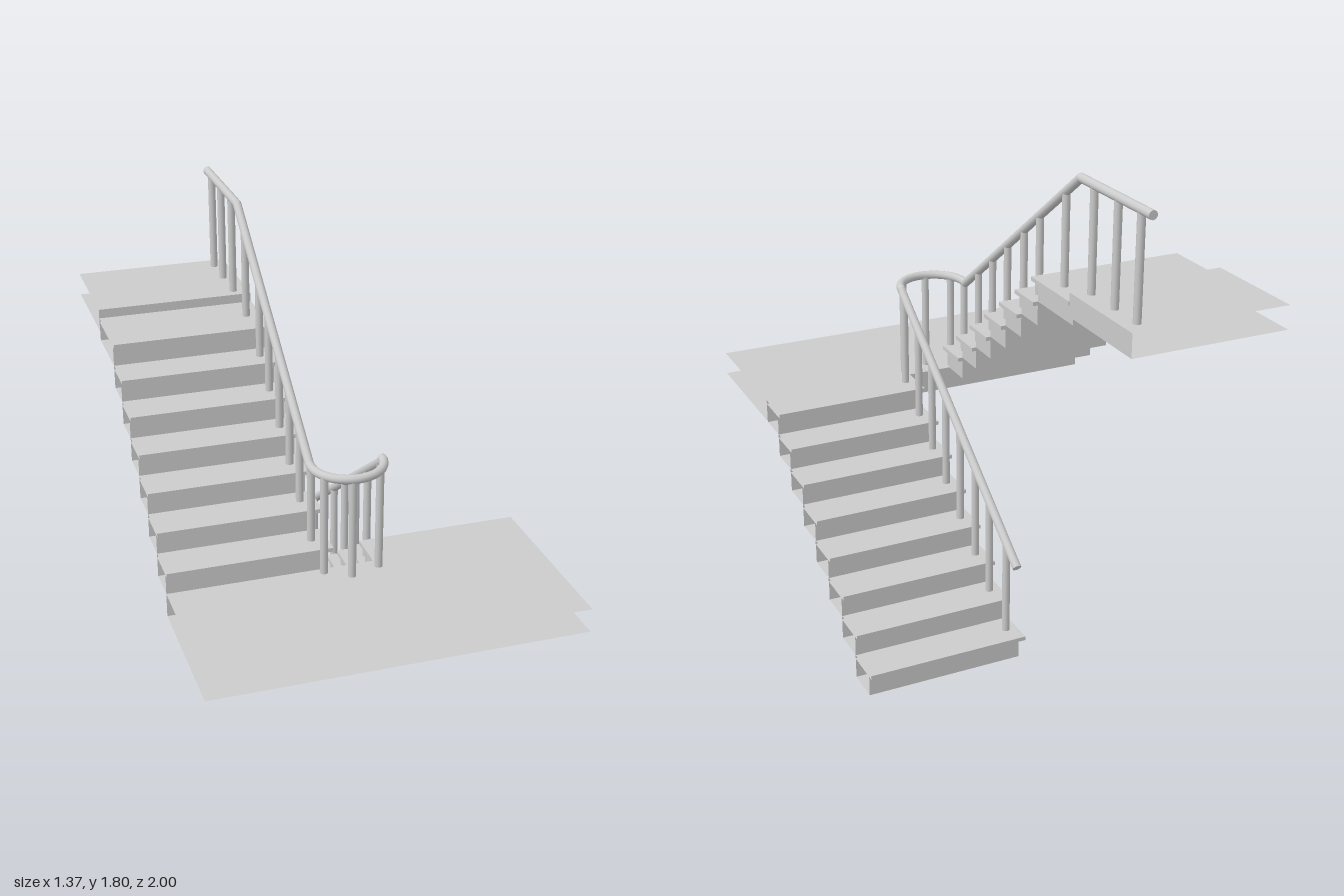
import * as THREE from 'three';

const material = new THREE.MeshStandardMaterial({ color: 0xcccccc, side: THREE.DoubleSide });
const RISE = 0.0913, RUN = 0.129, TREAD = 0.015, NOSE = 0.02;
const LANDING = 8 * RISE;
// box face order: +x -x +y -y +z -z
const PX = 0, NX = 1, PZ = 4, NZ = 5;

export function createModel() {
  const root = new THREE.Group();

  function add(name, geometry, parent = root) {
    const mesh = new THREE.Mesh(geometry, material);
    mesh.name = name;
    parent.add(mesh);
    return mesh;
  }

  function group(name) {
    const g = new THREE.Group();
    g.name = name;
    root.add(g);
    return g;
  }

  // box given by its limits, with the listed faces left open
  function openBox(name, [x0, x1], [y0, y1], [z0, z1], open, parent) {
    const geo = new THREE.BoxGeometry(x1 - x0, y1 - y0, z1 - z0);
    geo.setIndex(Array.from(geo.index.array).filter((_, i) => !open.includes(Math.floor(i / 6))));
    geo.clearGroups();
    geo.translate((x0 + x1) / 2, (y0 + y1) / 2, (z0 + z1) / 2);
    return add(name, geo, parent);
  }

  // round bar between two points
  function bar(name, a, b, radius, parent) {
    const dir = b.clone().sub(a);
    const mesh = add(name, new THREE.CylinderGeometry(radius, radius, dir.length(), 14), parent);
    mesh.position.copy(a).add(b).multiplyScalar(0.5);
    mesh.quaternion.setFromUnitVectors(new THREE.Vector3(0, 1, 0), dir.normalize());
  }

  // lower flight climbs towards +z, open on the wall side
  const lower = group('lowerFlight');
  for (let k = 0; k < 8; k++) {
    const z0 = -0.576 + k * RUN, z1 = z0 + RUN, top = (k + 1) * RISE;
    openBox('stepBody', [0.094, 0.685], [k * RISE, top - TREAD], [z0, z1], [PX], lower);
    openBox('tread', [0.076, 0.685], [top - TREAD, top], [z0 - NOSE, z1 + 0.004], [PX], lower);
  }

  // upper flight climbs towards -z, with a deeper last step
  const upper = group('upperFlight');
  for (let k = 0; k < 7; k++) {
    const z1 = 0.46 - k * RUN, z0 = k === 6 ? -0.576 : z1 - RUN;
    const y0 = LANDING + k * RISE, top = y0 + RISE;
    openBox('stepBody', [-0.688, -0.1], [y0, top - TREAD], [z0, z1], [NX], upper);
    openBox('tread', [-0.688, -0.081], [top - TREAD, top], [z0, z1 + NOSE], [NX], upper);
  }

  // landing and top floor are open where they meet the walls
  openBox('landing', [-0.688, 0.685], [0.64, LANDING], [0.46, 1], [PX, NX, PZ]);
  openBox('topFloor', [-0.688, -0.082], [1.315, 1.403], [-1, -0.58], [NX, NZ]);

  // handrail: two slopes joined by a half ring
  const R = 0.0165, XU = -0.14, XL = 0.12, RING = (XL - XU) / 2, ZC = 0.41, YR = 1.117;
  const rail = group('handrail');
  const v = (x, y, z) => new THREE.Vector3(x, y, z);
  const up = [v(XU, 1.787, -1), v(XU, 1.787, -0.535), v(XU, YR, 0.385), v(XU, YR, ZC)];
  const down = [v(XL, YR, ZC), v(XL, YR, 0.43), v(XL, 0.395, -0.607)];
  for (let i = 0; i < 3; i++) bar('railSection', up[i], up[i + 1], R, rail);
  bar('railSection', down[1], down[2], R, rail);
  for (const p of [up[1], up[2], down[1]]) {
    add('railJoint', new THREE.SphereGeometry(R, 14, 10), rail).position.copy(p);
  }
  const ring = add('railBend', new THREE.TorusGeometry(RING, R, 12, 28, Math.PI), rail);
  ring.rotation.x = Math.PI / 2;
  ring.position.set((XU + XL) / 2, YR, ZC);

  // balusters run from the steps up to the rail
  const posts = group('balusters');
  const post = (x, z, y0, y1) => bar('baluster', v(x, y0, z), v(x, y1, z), 0.0145, posts);
  const upperRail = z => THREE.MathUtils.clamp(YR + (0.385 - z) * 0.728, YR, 1.787);
  const lowerRail = z => Math.min(YR, YR - (0.43 - z) * 0.696);
  [-0.52, -0.378, -0.255, -0.122, 0.008, 0.137, 0.265, 0.4].forEach((z, k) =>
    post(XL, z, (k + 1) * RISE, lowerRail(z)));
  [0.4, 0.265, 0.14, 0.012, -0.122, -0.245, -0.435].forEach((z, k) =>
    post(XU, z, LANDING + (k + 1) * RISE, upperRail(z)));
  for (const z of [-0.627, -0.785, -0.93]) post(XU, z, 1.403, 1.787);
  for (const [x, z] of [[-0.118, 0.485], [-0.03, 0.537], [0.083, 0.5]]) post(x, z, LANDING, YR);

  return root;
}
